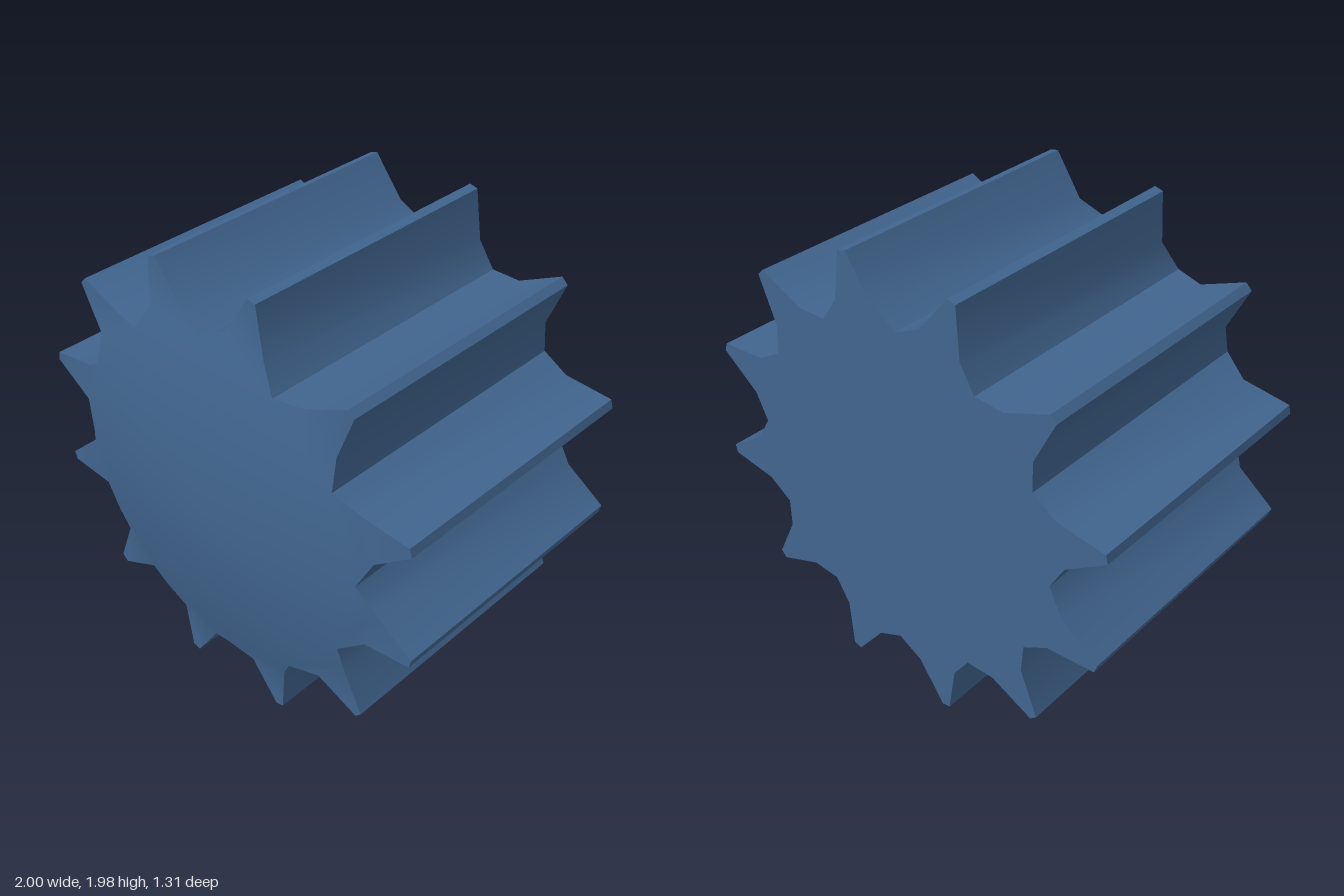
import * as THREE from 'three';
import { toCreasedNormals } from 'three/addons/utils/BufferGeometryUtils.js';

const TEETH = 12, PHASE = 17.6, CENTER_Y = 0.993;
const BACK = -0.655, SHOULDER_Z = 0.56, VALLEY_Z = 0.595, APEX_Z = 0.655;

// point on the gear outline, from an angle in degrees and a radius
function polar(deg, r, z) {
  const a = THREE.MathUtils.degToRad(deg);
  return [Math.cos(a) * r, Math.sin(a) * r * 0.994, z];
}

function gearGeometry() {
  const pos = [];
  const tri = (a, b, c) => pos.push(...a, ...b, ...c);
  const quad = (a, b, c, d) => { tri(a, b, c); tri(a, c, d); };
  const back = (p) => [p[0], p[1], BACK];
  const apex = [0, 0, APEX_Z], hub = [0, 0, BACK];

  for (let i = 0; i < TEETH; i++) {
    const mid = PHASE + i * 360 / TEETH;
    // valley, shoulder, tip, tip, shoulder, valley (counter-clockwise)
    const p = [
      polar(mid - 15, 0.752, VALLEY_Z),
      polar(mid - 6.9, 0.82, SHOULDER_Z),
      polar(mid - 1.1, 1.0175, SHOULDER_Z),
      polar(mid + 1.1, 1.0175, SHOULDER_Z),
      polar(mid + 6.9, 0.82, SHOULDER_Z),
      polar(mid + 15, 0.752, VALLEY_Z),
    ];
    const q = p.map(back);
    // domed front: shallow cone, bevel below the tooth, flat tooth face
    tri(apex, p[0], p[5]);
    quad(p[0], p[1], p[4], p[5]);
    quad(p[1], p[2], p[3], p[4]);
    // flat back
    tri(hub, q[5], q[0]);
    quad(q[5], q[4], q[1], q[0]);
    quad(q[4], q[3], q[2], q[1]);
    // flanks
    for (let k = 0; k < 5; k++) quad(q[k], q[k + 1], p[k + 1], p[k]);
  }
  const g = new THREE.BufferGeometry();
  g.setAttribute('position', new THREE.Float32BufferAttribute(pos, 3));
  return toCreasedNormals(g, THREE.MathUtils.degToRad(40));
}

export function createModel() {
  const blue = new THREE.MeshStandardMaterial({ color: 0x41658f });
  blue.name = 'steel blue';
  const gear = new THREE.Mesh(gearGeometry(), blue);
  gear.name = 'pinionGear';
  gear.position.y = CENTER_Y;
  const group = new THREE.Group();
  group.name = 'pinion';
  group.add(gear);
  return group;
}
